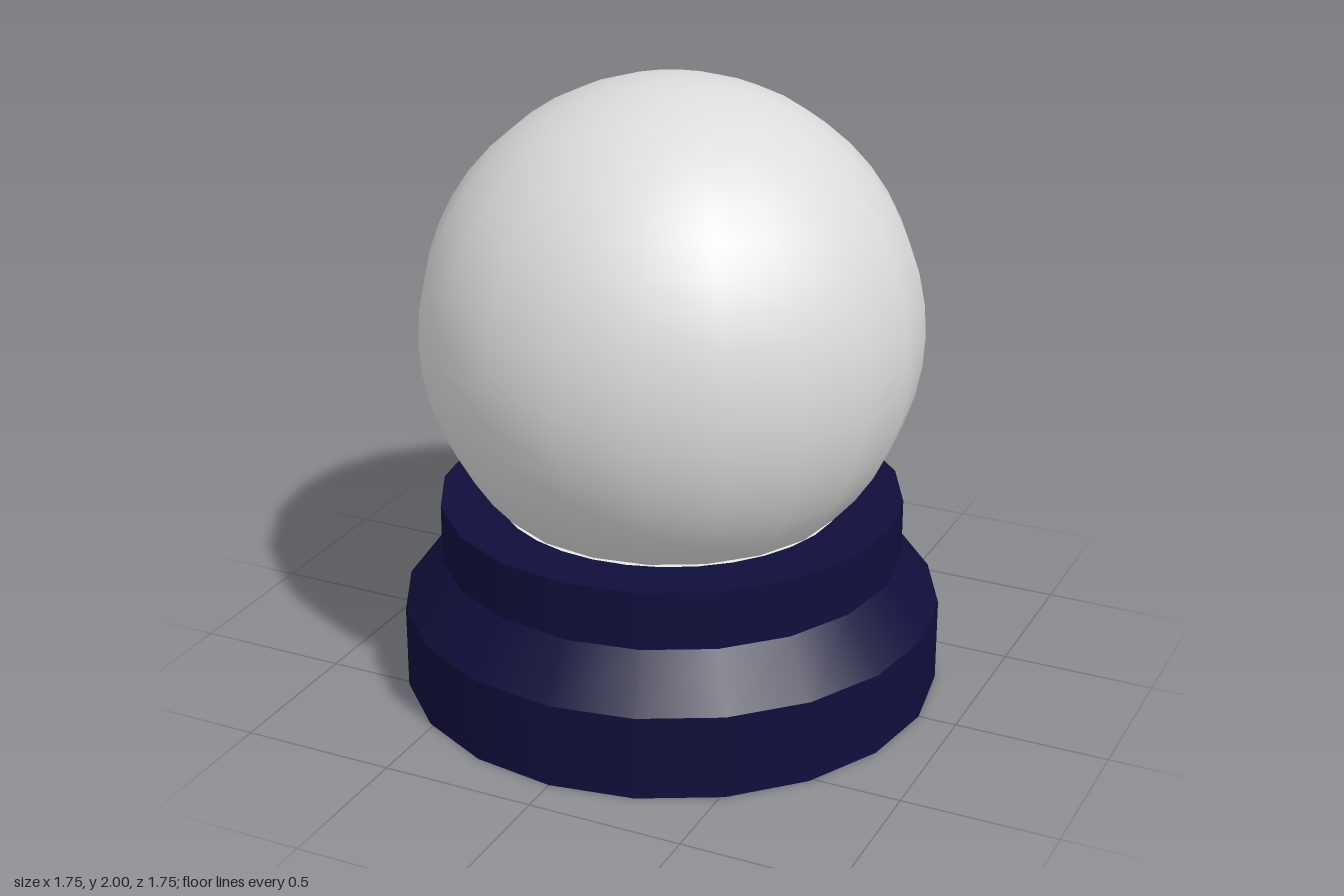
import * as THREE from 'three';

export function createModel() {
  const model = new THREE.Group();
  const navy = new THREE.MeshStandardMaterial({ name: 'navy base', color: 0x0f0f3c });
  const pale = new THREE.MeshStandardMaterial({ name: 'pale glass', color: 0xdcdcdc });
  const white = new THREE.MeshStandardMaterial({ name: 'white snow', color: 0xf4f4f4 });
  const SIDES = 20;

  const add = (parent, name, geometry, material, x = 0, y = 0, z = 0) => {
    const mesh = new THREE.Mesh(geometry, material);
    mesh.name = name;
    mesh.position.set(x, y, z);
    parent.add(mesh);
    return mesh;
  };

  // Stepped base: open walls stacked into one shell, closed by two discs
  const base = new THREE.Group();
  base.name = 'base';
  model.add(base);
  const walls = [
    ['baseFoot', 0.875, 0.875, 0, 0.275],
    ['baseSlope', 0.875, 0.75, 0.275, 0.44],
    ['baseCollar', 0.75, 0.75, 0.44, 0.63],
  ];
  for (const [name, r0, r1, y0, y1] of walls) {
    add(base, name, new THREE.CylinderGeometry(r1, r0, y1 - y0, SIDES, 1, true), navy, 0, (y0 + y1) / 2);
  }
  add(base, 'baseTop', new THREE.CircleGeometry(0.75, SIDES).rotateX(-Math.PI / 2), navy, 0, 0.63);
  add(base, 'baseBottom', new THREE.CircleGeometry(0.875, SIDES).rotateX(Math.PI / 2), navy, 0, 0.001);

  // Round plug under the base
  add(base, 'bottomPlug', new THREE.CircleGeometry(0.29, 32).rotateX(Math.PI / 2), pale);

  // Snow bed, just showing at the front of the globe's foot
  add(model, 'snowBed', new THREE.CircleGeometry(0.56, 32).rotateX(-Math.PI / 2), white, 0.005, 0.633, 0.015);

  // Glass globe
  add(model, 'globe', new THREE.SphereGeometry(0.8, SIDES, 24), pale, 0, 1.2);

  return model;
}
